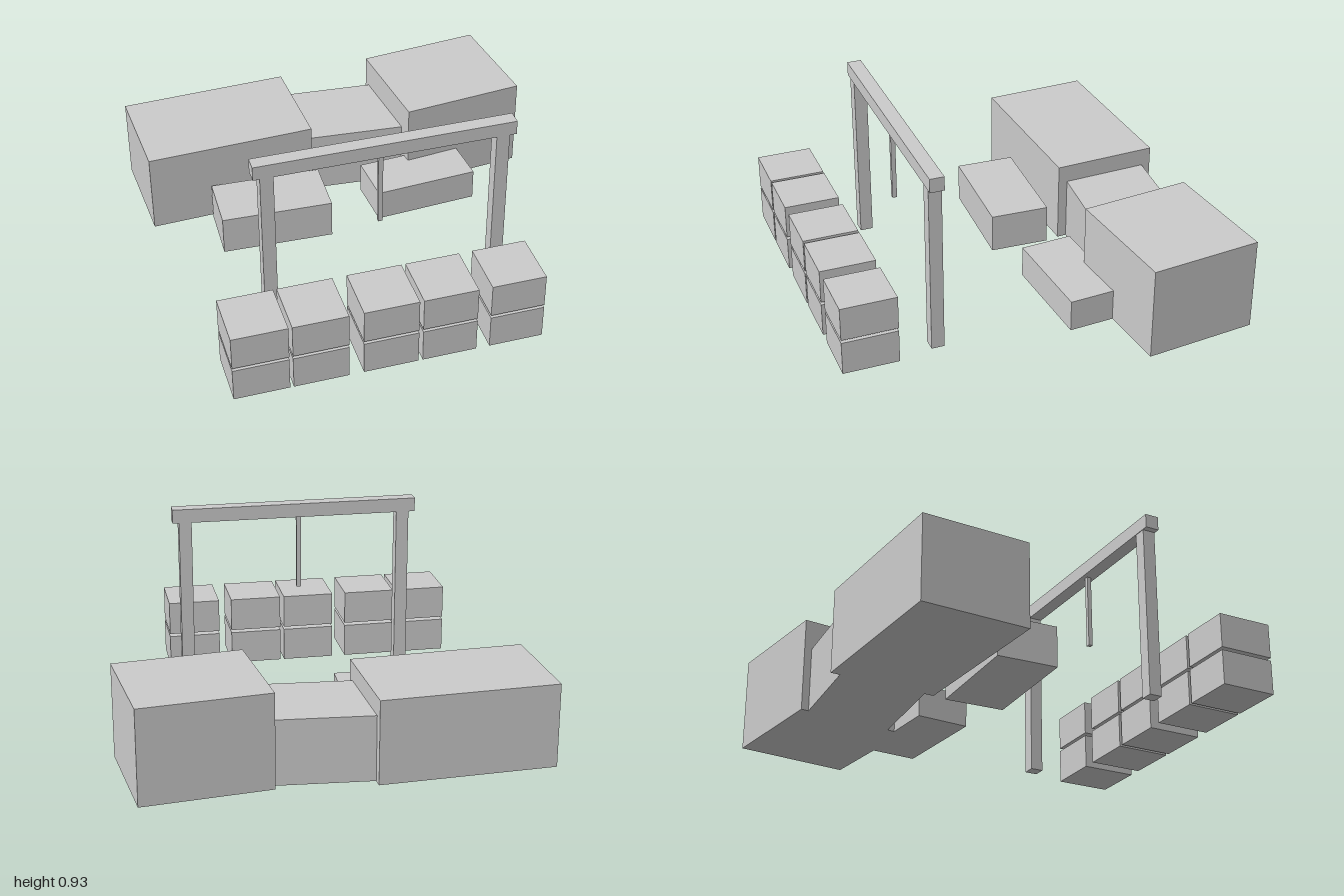
import * as THREE from 'three';

const material = new THREE.MeshStandardMaterial({ color: 0xcccccc, flatShading: true });

// Box whose underside rests at height y, turned by angle about the vertical
function block(name, [w, h, d], [x, y, z], angle = 0) {
  const mesh = new THREE.Mesh(new THREE.BoxGeometry(w, h, d), material);
  mesh.name = name;
  mesh.position.set(x, y + h / 2, z);
  mesh.rotation.y = angle;
  return mesh;
}

export function createModel() {
  const model = new THREE.Group();
  model.name = 'cargoYard';

  // Row of buildings along the back, with lower sheds in front
  const buildings = new THREE.Group();
  buildings.name = 'buildings';
  buildings.add(
    block('longHall', [0.85, 0.41, 0.523], [-0.56, 0, -0.658], 0.047),
    block('linkHall', [0.6, 0.32, 0.427], [0.1, 0, -0.66], -0.077),
    block('tallHall', [0.624, 0.465, 0.557], [0.655, 0, -0.652], 0.109),
    block('rightShed', [0.557, 0.198, 0.296], [-0.394, 0, -0.212], -0.037),
    block('leftShed', [0.526, 0.16, 0.262], [0.398, 0, -0.26], 0.07)
  );
  model.add(buildings);

  // Gantry crane: two posts, a beam and a hanging cable
  const gantry = new THREE.Group();
  gantry.name = 'gantry';
  gantry.position.set(-0.02, 0, 0.485);
  for (const side of [-1, 1]) {
    gantry.add(block('gantryPost', [0.064, 0.86, 0.064], [side * 0.561, 0, 0]));
  }
  gantry.add(
    block('gantryBeam', [1.25, 0.07, 0.07], [0, 0.86, 0]),
    block('hoistCable', [0.022, 0.38, 0.022], [-0.022, 0.48, 0])
  );
  model.add(gantry);

  // Crates stacked two high along the front
  const crates = new THREE.Group();
  crates.name = 'crates';
  for (const x of [-0.743, -0.463, -0.131, 0.152, 0.48]) {
    for (const y of [0, 0.185]) {
      crates.add(block('crate', [0.263, 0.17, 0.275], [x, y, 0.822]));
    }
  }
  model.add(crates);

  return model;
}
